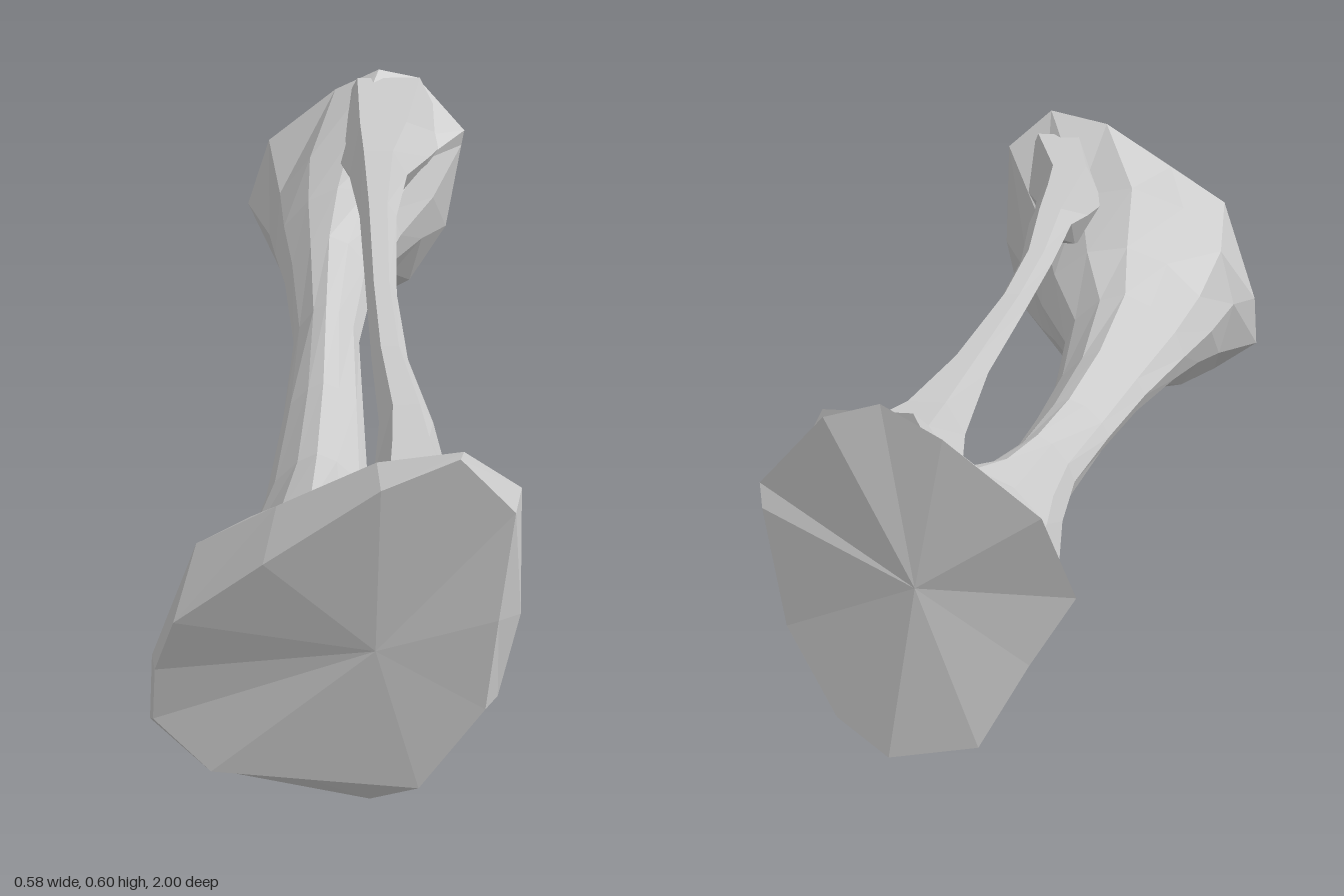
import * as THREE from 'three';

// Ring of points around the z axis, counter-clockwise seen from +z.
// shear tilts it up to the right; power above 1 pinches it towards a four-edged section.
function ring(sides, z, cx, cy, rx, ry, shear = 0, power = 1) {
  const pinch = (v) => Math.sign(v) * Math.abs(v) ** power;
  return Array.from({ length: sides }, (_, i) => {
    const a = (i / sides) * Math.PI * 2;
    const c = pinch(Math.cos(a)), s = pinch(Math.sin(a));
    return [cx + rx * c, cy + ry * s + shear * c, z];
  });
}

// Skin a list of rings running from +z to -z and close both ends with a fan
function loft(name, rings, frontCentre, backCentre) {
  const n = rings[0].length;
  const pos = [...rings.flat(), frontCentre, backCentre].flat();
  const front = rings.length * n, back = front + 1, last = front - n;
  const index = [];
  for (let k = 0; k < n; k++) {
    const m = (k + 1) % n;
    for (let r = 0; r < rings.length - 1; r++) {
      const a = r * n, b = a + n;
      index.push(a + k, b + k, a + m, a + m, b + k, b + m);
    }
    index.push(front, k, m, back, last + m, last + k);
  }
  const geo = new THREE.BufferGeometry();
  geo.setAttribute('position', new THREE.Float32BufferAttribute(pos, 3));
  geo.setIndex(index);
  geo.computeVertexNormals();
  const mesh = new THREE.Mesh(geo, new THREE.MeshStandardMaterial({ color: 0xcccccc, flatShading: true }));
  mesh.name = name;
  return mesh;
}

export function createModel() {
  const group = new THREE.Group();
  group.name = 'pairedBones';

  // Front joint: face outline, then the wider rim behind it
  const frontFace = [
    [0.215, 0.33, 0.98], [0.235, 0.5, 0.98], [0.155, 0.59, 0.995], [0.045, 0.545, 1],
    [-0.12, 0.42, 0.975], [-0.25, 0.31, 0.94], [-0.28, 0.22, 0.915], [-0.285, 0.135, 0.91],
    [-0.2, 0.065, 0.945], [-0.05, 0.055, 0.955], [0.105, 0.045, 0.965], [0.2, 0.18, 0.97],
  ];
  const frontRim = [
    [0.25, 0.32, 0.94], [0.245, 0.525, 0.95], [0.16, 0.597, 0.985], [0.04, 0.575, 0.97],
    [-0.1, 0.495, 0.94], [-0.215, 0.427, 0.92], [-0.285, 0.23, 0.89], [-0.29, 0.13, 0.9],
    [-0.2, 0.06, 0.93], [0.035, 0, 0.92], [0.11, 0.045, 0.94], [0.22, 0.185, 0.94],
  ];
  // Back joint rim
  const backRim = [
    [0.285, 0.42, -0.96], [0.29, 0.455, -0.95], [0.19, 0.565, -0.97], [0.11, 0.585, -0.96],
    [0.02, 0.54, -0.97], [-0.12, 0.43, -0.97], [-0.165, 0.3, -0.94], [-0.1, 0.2, -0.96],
    [-0.03, 0.08, -0.99], [0.1, 0.06, -1], [0.18, 0.11, -0.98], [0.255, 0.24, -0.96],
  ];

  // Thick bone: z, centre x, centre y, half width, half height, shear, pinch
  const shaft = [
    [0.84, -0.03, 0.25, 0.215, 0.22, 0.02, 1],
    [0.72, -0.035, 0.225, 0.175, 0.15, 0.02, 1.1],
    [0.57, -0.05, 0.205, 0.12, 0.115, 0.01, 1.25],
    [0.3, -0.035, 0.2, 0.087, 0.084, 0, 1.4],
    [0, -0.02, 0.218, 0.072, 0.068, 0, 1.4],
    [-0.3, -0.01, 0.24, 0.062, 0.08, 0, 1.35],
    [-0.55, 0, 0.265, 0.088, 0.1, 0, 1.25],
    [-0.72, 0.02, 0.285, 0.128, 0.123, 0.02, 1.1],
    [-0.84, 0.05, 0.305, 0.17, 0.17, 0.04, 1],
  ].map((s) => ring(12, ...s));
  group.add(loft('thickBone', [frontFace, frontRim, ...shaft, backRim], [0.04, 0.28, 0.975], [0.06, 0.32, -0.985]));

  // Thin bone running above it, its ends sunk into the joints
  const thin = [
    [0.95, 0.14, 0.45, 0.085, 0.12],
    [0.84, 0.1, 0.435, 0.07, 0.09],
    [0.72, 0.1, 0.44, 0.055, 0.07],
    [0.57, 0.1, 0.458, 0.042, 0.036],
    [0.3, 0.085, 0.453, 0.03, 0.027],
    [0, 0.082, 0.453, 0.027, 0.026],
    [-0.4, 0.09, 0.457, 0.035, 0.031],
    [-0.68, 0.1, 0.447, 0.058, 0.058],
    [-0.83, 0.115, 0.435, 0.095, 0.088],
    [-0.95, 0.13, 0.44, 0.13, 0.15],
  ].map((s) => ring(6, ...s));
  group.add(loft('thinBone', thin, [0.14, 0.45, 0.95], [0.13, 0.44, -0.95]));

  return group;
}
